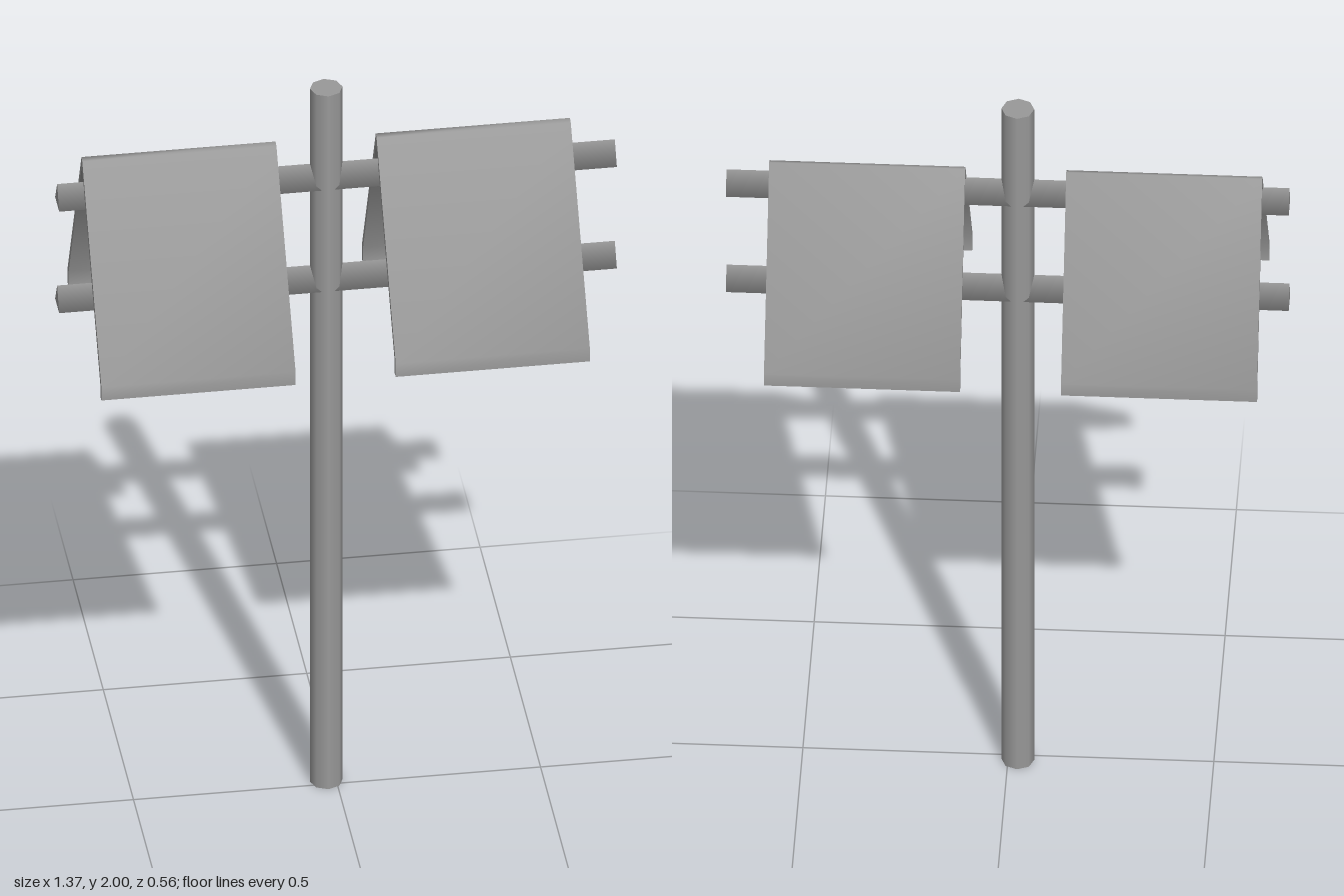
import * as THREE from 'three';
import { toCreasedNormals } from 'three/addons/utils/BufferGeometryUtils.js';

export function createModel() {
  const group = new THREE.Group();
  const material = new THREE.MeshStandardMaterial({ color: 0x999999 });
  const axisZ = -0.017;

  const add = (name, geometry, x, y, z) => {
    const mesh = new THREE.Mesh(geometry, material);
    mesh.name = name;
    mesh.position.set(x, y, z);
    group.add(mesh);
  };

  // Upright pole
  add('pole', new THREE.CylinderGeometry(0.04, 0.04, 2, 8), -0.024, 1, axisZ);

  // Two three-sided crossbars, ridge upward
  const bar = new THREE.CylinderGeometry(0.039, 0.039, 1.37, 3, 1, false, Math.PI / 2);
  bar.rotateZ(Math.PI / 2);
  add('upperCrossbar', bar, 0, 1.745, axisZ);
  add('lowerCrossbar', bar, 0, 1.452, axisZ);

  // Folded sheets with a softened fold and short turned-down lips; profile points are (z, y)
  const profile = [
    [0.281, 1.342], [0.281, 1.38], [-0.036, 1.831], [-0.05, 1.835],
    [-0.281, 1.365], [-0.281, 1.328], [-0.26, 1.328], [-0.26, 1.372],
    [-0.049, 1.8], [-0.033, 1.8], [0.263, 1.377], [0.263, 1.342],
  ].map(([z, y]) => new THREE.Vector2(z, y));
  const width = 0.477;
  const extruded = new THREE.ExtrudeGeometry(new THREE.Shape(profile), { depth: width, bevelEnabled: false });
  extruded.translate(0, 0, -width / 2);
  extruded.rotateY(-Math.PI / 2);
  // Smooth around the fold and lips, sharp at the cut ends
  const sheet = toCreasedNormals(extruded, 1.45);
  add('leftFoldedSheet', sheet, 0.341, 0, 0);
  add('rightFoldedSheet', sheet, -0.382, 0, 0);

  return group;
}
